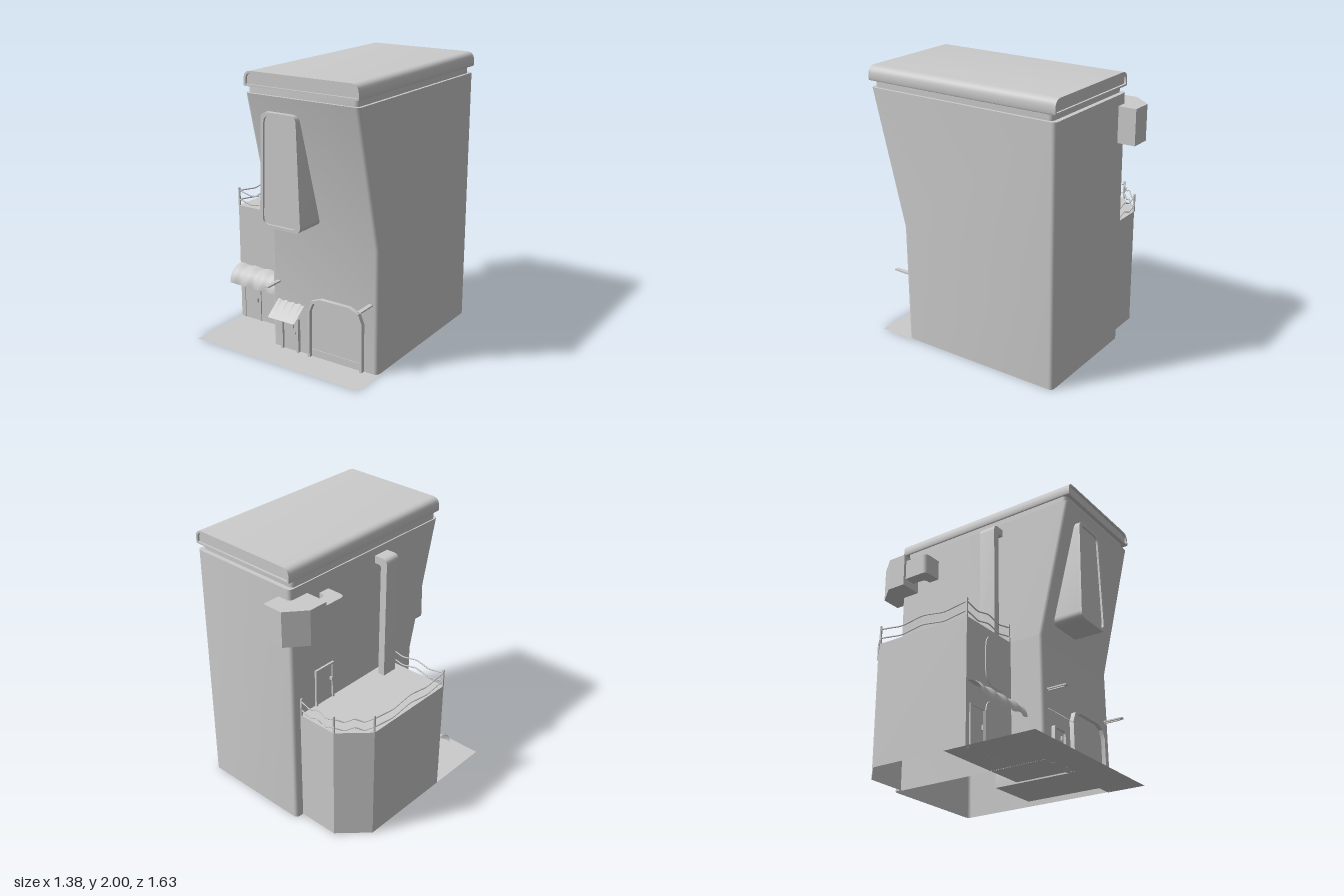
import * as THREE from 'three';
import { toCreasedNormals } from 'three/addons/utils/BufferGeometryUtils.js';

const grey = new THREE.MeshStandardMaterial({ color: 0xcccccc, side: THREE.DoubleSide });

export function createModel() {
  const root = new THREE.Group();

  function add(name, geo, x = 0, y = 0, z = 0, parent = root) {
    const m = new THREE.Mesh(geo, grey);
    m.name = name;
    m.position.set(x, y, z);
    parent.add(m);
    return m;
  }
  const box = (name, x0, x1, y0, y1, z0, z1, parent) =>
    add(name, new THREE.BoxGeometry(x1 - x0, y1 - y0, z1 - z0), (x0 + x1) / 2, (y0 + y1) / 2, (z0 + z1) / 2, parent);

  // Walls through [x, z] rings at given heights, ordered front-left, front-right, back
  function loft(levels, top = true, bottom = false) {
    const pos = [], n = levels[0].ring.length;
    const put = (l, i) => pos.push(l.ring[i % n][0], l.y, l.ring[i % n][1]);
    for (let k = 0; k + 1 < levels.length; k++) {
      const a = levels[k], b = levels[k + 1];
      for (let i = 0; i < n; i++) {
        put(a, i); put(a, i + 1); put(b, i + 1);
        put(a, i); put(b, i + 1); put(b, i);
      }
    }
    for (let i = 1; i < n - 1; i++) {
      const t = levels[levels.length - 1], d = levels[0];
      if (top) { put(t, 0); put(t, i); put(t, i + 1); }
      if (bottom) { put(d, 0); put(d, i + 1); put(d, i); }
    }
    const g = new THREE.BufferGeometry();
    g.setAttribute('position', new THREE.Float32BufferAttribute(pos, 3));
    return toCreasedNormals(g, 0.5);
  }
  const prism = (ring, y0, y1, bottom) => loft([{ ring, y: y0 }, { ring, y: y1 }], true, bottom);

  // Rounded rectangle ring in x, z
  function roundRing(x0, x1, z0, z1, r) {
    const pts = [];
    [[x1 - r, z1 - r], [x1 - r, z0 + r], [x0 + r, z0 + r], [x0 + r, z1 - r]].forEach(([cx, cz], q) => {
      for (let i = 0; i <= 5; i++) {
        const a = (q - 1 + i / 5) * Math.PI / 2;
        pts.push([cx + r * Math.cos(a), cz - r * Math.sin(a)]);
      }
    });
    return pts;
  }

  // Polygon with each corner [x, y, radius] rounded
  function roundShape(pts, Type = THREE.Shape) {
    const s = new Type(), n = pts.length;
    pts.forEach(([x, y, r], i) => {
      const p = new THREE.Vector2(x, y);
      const toward = ([qx, qy]) => new THREE.Vector2(qx, qy).sub(p).setLength(r).add(p);
      const a = toward(pts[(i + n - 1) % n]), b = toward(pts[(i + 1) % n]);
      if (i) s.lineTo(a.x, a.y); else s.moveTo(a.x, a.y);
      if (r) s.quadraticCurveTo(x, y, b.x, b.y);
    });
    s.closePath();
    return s;
  }
  function extrude(shape, z0, z1) {
    const g = new THREE.ExtrudeGeometry(shape, { depth: z1 - z0, bevelEnabled: false, curveSegments: 6 });
    return toCreasedNormals(g.translate(0, 0, z0), 0.6);
  }
  function frame(outer, inner, z0, z1) {
    const s = roundShape(outer);
    s.holes.push(roundShape(inner, THREE.Path));
    return extrude(s, z0, z1);
  }
  const rect = (x0, x1, y0, y1, r, rb = r) => [[x0, y0, rb], [x1, y0, rb], [x1, y1, r], [x0, y1, r]];

  // Tower with its front leaning out above the kink, open underneath
  const wall = (y, front) => ({ y, ring: roundRing(-0.19, 0.68, -0.683, front, 0.03) });
  add('towerWalls', loft([wall(0, 0.565), wall(0.88, 0.565), wall(1.855, 0.805)]));
  add('roofNeck', prism(roundRing(-0.18, 0.66, -0.65, 0.785, 0.03), 1.855, 1.9));
  const roofOuter = rect(-0.188, 0.683, 1.9, 2, 0.06, 0.01);
  const roofInner = rect(-0.173, 0.668, 1.912, 1.987, 0.05, 0.005);
  add('roof', extrude(roundShape(roofOuter), -0.67, 0.8));
  add('roofRimFront', frame(roofOuter, roofInner, 0.8, 0.815));
  add('roofRimBack', frame(roofOuter, roofInner, -0.685, -0.67));

  // Tall bay window
  const bay = i => [[-0.083 + i, 0.98 + i, 0.05], [0.243 - i, 0.98 + i, 0.05],
    [0.217 - i, 1.75 - i, 0.05], [-0.057 + i, 1.75 - i, 0.05]];
  add('bayWindowBody', extrude(roundShape(bay(0)), 0.55, 0.8));
  add('bayWindowRim', frame(bay(0), bay(0.022), 0.8, 0.815));

  // Garage bay with arched frame
  const arch = i => [[0.13 + i, 0, 0], [0.575 - i, 0, 0], [0.575 - i, 0.35 - i * 0.4, 0], [0.545 - i * 0.8, 0.42 - i * 0.8, 0],
    [0.47, 0.45 - i, 0], [0.235, 0.45 - i, 0], [0.16 + i * 0.8, 0.42 - i * 0.8, 0], [0.13 + i, 0.35 - i * 0.4, 0]];
  add('garageFrame', frame(arch(0), arch(0.02), 0.55, 0.597));
  add('garageBay', extrude(roundShape(arch(0.015)), -0.05, 0.567));
  box('garageSill', 0.147, 0.555, 0, 0.055, 0.56, 0.572);

  // Tower front door, its canopy and two wall pegs
  add('frontDoorFrame', frame(rect(-0.105, 0.047, 0, 0.255, 0.025, 0), rect(-0.088, 0.03, 0, 0.24, 0.02, 0), 0.55, 0.59));
  box('frontDoor', -0.088, 0.03, 0, 0.24, 0.55, 0.572);
  box('frontDoorHandle', -0.005, 0, 0.175, 0.205, 0.57, 0.585);
  box('frontDoorLock', 0.006, 0.014, 0.13, 0.145, 0.57, 0.58);
  for (const x of [-0.13, 0.625]) {
    box('wallPeg', x - 0.015, x + 0.015, 0.492, 0.502, 0.56, 0.71);
    box('wallPegRib', x - 0.005, x + 0.005, 0.484, 0.492, 0.56, 0.69);
  }

  // Awnings: rule gives height and depth for each step down the cloth
  function awning(name, x0, x1, rule) {
    const g = new THREE.PlaneGeometry(1, 1, 32, 10), p = g.attributes.position;
    for (let i = 0; i < p.count; i++) {
      const u = p.getX(i) + 0.5, t = 0.5 - p.getY(i);
      p.setXYZ(i, x0 + u * (x1 - x0), ...rule(t, Math.sin(u * Math.PI * 8)));
    }
    g.computeVertexNormals();
    add(name, g);
  }
  awning('doorAwning', -0.14, 0.085, (t, w) => [0.36 - 0.095 * t + 0.005 * w * (1 - t), 0.565 + 0.125 * t]);
  awning('annexAwning', -0.69, -0.19, (t, w) => [
    0.31 + 0.12 * Math.cos(t * Math.PI / 2) + 0.004 * w, 0.31 + (0.127 + 0.006 * w) * Math.sin(t * Math.PI / 2)]);

  // Annex with chamfered back corner, open underneath
  add('annex', prism([[-0.69, 0.31], [-0.18, 0.31], [-0.18, -0.62], [-0.495, -0.62], [-0.69, -0.43]], 0, 0.88));
  const annexWindow = (name, y0, y1) => {
    add(name, extrude(roundShape(rect(-0.487, -0.242, y0, y1, 0.1)), 0.3, 0.318));
  };
  annexWindow('annexUpperWindow', 0.475, 0.84);
  annexWindow('annexLowerWindow', 0.015, 0.38);
  add('annexDoorFrame', frame(rect(-0.655, -0.498, 0, 0.29, 0), rect(-0.645, -0.508, 0, 0.28, 0), 0.3, 0.32));
  box('annexDoor', -0.645, -0.508, 0, 0.28, 0.3, 0.314);
  box('annexDoorHandle', -0.53, -0.522, 0.145, 0.18, 0.31, 0.328);

  // Deck railing: posts and two wavy wires
  const railing = new THREE.Group();
  railing.name = 'railing';
  root.add(railing);
  const posts = [[-0.2, 0.305], [-0.685, 0.305], [-0.685, -0.43], [-0.495, -0.617], [-0.2, -0.617]];
  posts.forEach(([x, z], i) => {
    box('railingPost', x - 0.006, x + 0.006, 0.88, 1.015, z - 0.006, z + 0.006, railing);
    if (i === 0) return;
    const [px, pz] = posts[i - 1];
    for (const y of [0.912, 0.98]) {
      const pts = [];
      for (let k = 0; k <= 8; k++) {
        const t = k / 8;
        pts.push(new THREE.Vector3(px + (x - px) * t, y + 0.012 * Math.cos(t * Math.PI * 4), pz + (z - pz) * t));
      }
      add('railingWire', new THREE.TubeGeometry(new THREE.CatmullRomCurve3(pts), 24, 0.005, 6), 0, 0, 0, railing);
    }
  });

  // Deck door on the tower side
  const deckDoor = new THREE.Group();
  deckDoor.name = 'deckDoor';
  root.add(deckDoor);
  box('deckDoorPanel', -0.195, -0.18, 0.88, 1.15, -0.46, -0.315, deckDoor);
  for (const z of [-0.475, -0.315]) box('deckDoorJamb', -0.205, -0.18, 0.88, 1.165, z, z + 0.015, deckDoor);
  box('deckDoorHead', -0.205, -0.18, 1.15, 1.165, -0.475, -0.3, deckDoor);
  box('deckDoorHandle', -0.217, -0.195, 1.03, 1.055, -0.335, -0.325, deckDoor);

  // Square chimney bending into the tower wall
  add('chimney', extrude(roundShape([[-0.295, 0.88, 0], [-0.242, 0.88, 0], [-0.242, 1.745, 0.02],
    [-0.18, 1.745, 0], [-0.18, 1.8, 0], [-0.295, 1.8, 0.045]]), 0.125, 0.25));

  // Vent housing around the back corner and its elbow duct
  add('ventHousing', prism([[-0.36, -0.53], [-0.09, -0.53], [-0.09, -0.815], [-0.245, -0.815], [-0.36, -0.675]], 1.525, 1.78, true));
  const elbow = extrude(roundShape([[-0.337, 0.55, 0], [-0.337, 0.335, 0.045], [-0.18, 0.335, 0],
    [-0.18, 0.418, 0], [-0.245, 0.418, 0.04], [-0.245, 0.55, 0]]), 1.58, 1.735);
  add('elbowDuct', elbow.rotateX(-Math.PI / 2));

  // Pavement in front, continuing under the annex and part of the tower
  const ground = new THREE.ShapeGeometry(roundShape([[-0.69, -0.812, 0], [0.69, -0.812, 0], [0.69, -0.53, 0],
    [0.12, -0.53, 0], [0.12, -0.14, 0], [-0.69, -0.14, 0]]));
  add('pavement', ground.rotateX(-Math.PI / 2), 0, 0.001, 0);

  return root;
}
